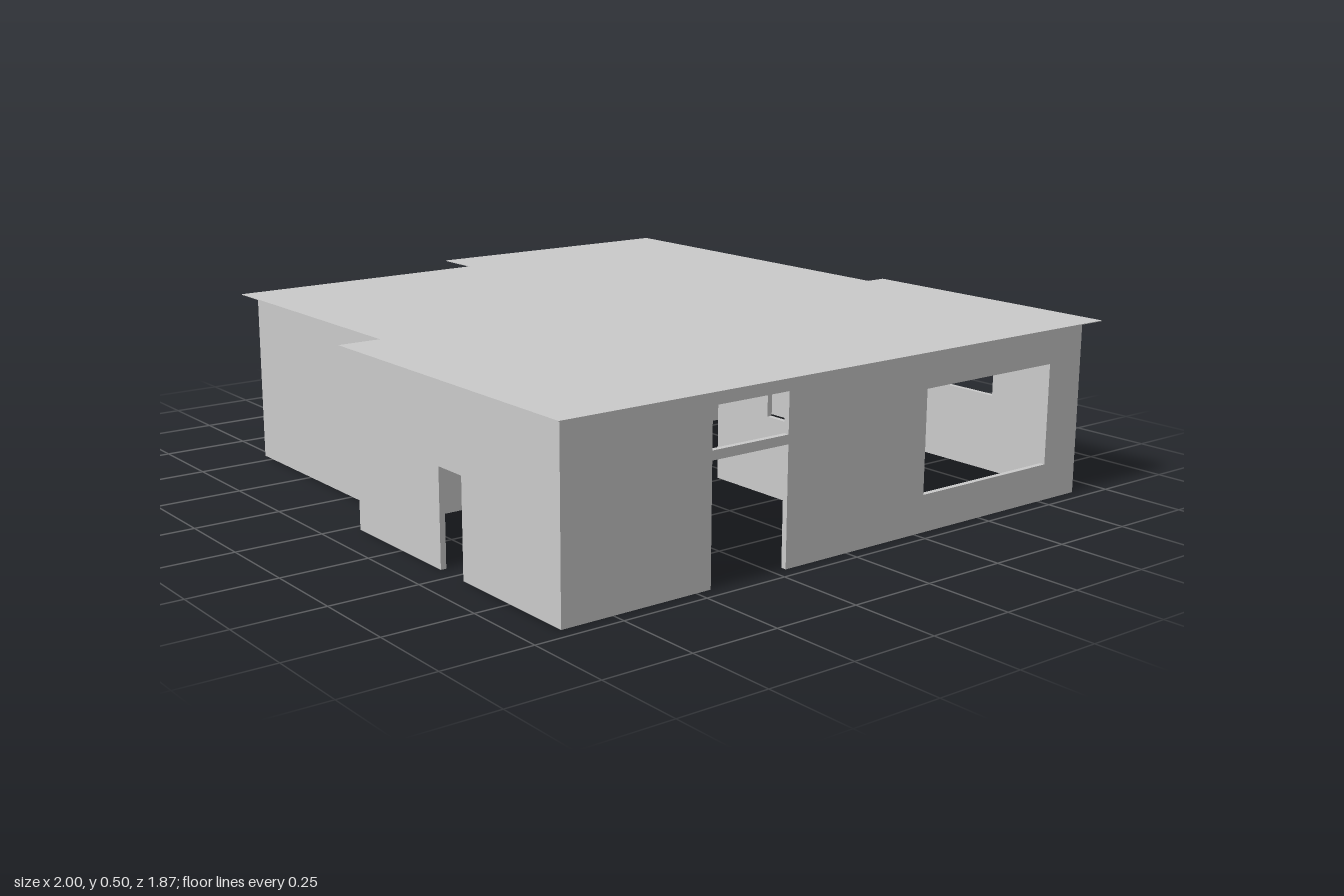
import * as THREE from 'three';

const material = new THREE.MeshStandardMaterial({ color: 0xcccccc, flatShading: true, side: THREE.DoubleSide });
const T = 0.016;   // wall thickness
const H = 0.503;   // wall height, just under the roof
const LOW = 0.48;  // lower wing walls

// Wall outline with door notches [from, to, height] and window holes [from, to, bottom, top]
function wallGeometry(from, to, height, doors, windows) {
  const s = new THREE.Shape();
  s.moveTo(from, 0);
  for (const [a, b, h] of doors) {
    s.lineTo(a, 0);
    s.lineTo(a, h);
    s.lineTo(b, h);
    s.lineTo(b, 0);
  }
  s.lineTo(to, 0);
  s.lineTo(to, height);
  s.lineTo(from, height);
  s.closePath();
  for (const [a, b, y0, y1] of windows) {
    const hole = new THREE.Path();
    hole.moveTo(a, y0);
    hole.lineTo(a, y1);
    hole.lineTo(b, y1);
    hole.lineTo(b, y0);
    hole.closePath();
    s.holes.push(hole);
  }
  return new THREE.ExtrudeGeometry(s, { depth: T, bevelEnabled: false });
}

// Wall running along x, its lower-z face at z
function wallX(name, z, from, to, { height = H, doors = [], windows = [] } = {}) {
  const mesh = new THREE.Mesh(wallGeometry(from, to, height, doors, windows), material);
  mesh.position.z = z;
  mesh.name = name;
  return mesh;
}

// Wall running along z, its lower-x face at x (shape coordinates are mirrored to -z)
function wallZ(name, x, from, to, { height = H, doors = [], windows = [] } = {}) {
  const flip = ([a, b, ...rest]) => [-b, -a, ...rest];
  const geometry = wallGeometry(-to, -from, height, doors.map(flip), windows.map(flip));
  const mesh = new THREE.Mesh(geometry, material);
  mesh.rotation.y = Math.PI / 2;
  mesh.position.x = x;
  mesh.name = name;
  return mesh;
}

function createRoof() {
  const outline = [
    [-0.99, -0.87], [0.145, -0.87], [0.145, -0.935], [1, -0.935], [1, 0.93],
    [0, 0.93], [0, 0.805], [-0.835, 0.805], [-0.85, -0.02], [-1, -0.02],
  ];
  const shape = new THREE.Shape(outline.map(([x, z]) => new THREE.Vector2(x, -z)));
  const geometry = new THREE.ExtrudeGeometry(shape, { depth: 0.002, bevelEnabled: false });
  geometry.rotateX(-Math.PI / 2);
  const roof = new THREE.Mesh(geometry, material);
  roof.position.y = H;
  roof.name = 'roof';
  return roof;
}

export function createModel() {
  const house = new THREE.Group();
  house.name = 'house';

  // Outer walls
  const outer = new THREE.Group();
  outer.name = 'outerWalls';
  outer.add(
    wallX('frontWallMain', 0.9 - T, 0.04, 0.96, { doors: [[0.44, 0.545, 0.27]] }),
    wallX('frontWallRecessed', 0.77 - T, -0.8, 0.04),
    wallZ('sideWallWithWindows', 0.96 - T, -0.9, 0.9, {
      doors: [[0.21, 0.455, 0.325]],
      windows: [[0.21, 0.455, 0.35, 0.46], [-0.77, -0.28, 0.105, 0.395]],
    }),
    wallX('backWallMain', -0.9, 0.18, 0.96, { windows: [[0.44, 0.66, 0.23, 0.4]] }),
    wallZ('backWallStep', 0.18, -0.9, -0.84 + T),
    wallX('backWallRecessed', -0.84, -0.95, 0.18, { windows: [[-0.25, -0.13, 0.23, 0.32]] }),
    wallZ('wingSideWall', -0.95, -0.84, -0.05, { height: LOW }),
    wallX('wingEndStub', -0.05 - T, -0.95, -0.905, { height: LOW }),
    wallZ('solidSideWall', -0.8, -0.05, 0.77),
  );

  // Room partitions
  const inner = new THREE.Group();
  inner.name = 'innerWalls';
  inner.add(
    wallX('bedroomWall', -0.2, 0.23, 0.96, {
      windows: [[0.445, 0.58, 0.23, 0.32], [0.71, 0.83, 0.24, 0.38]],
    }),
    wallZ('hallWall', 0.03, 0.12, 0.9, { doors: [[0.255, 0.355, 0.27]] }),
    wallX('hallReturnWall', 0.16, 0.04, 0.36),
    wallZ('closetSide', -0.15, 0.01, 0.15),
    wallX('closetBack', 0.005, -0.41, -0.14),
    wallZ('closetEnd', -0.418, -0.07, 0.01),
    wallX('corridorWall', 0.142, -0.8, -0.14),
    wallX('frontRoomWall', 0.425, -0.67, -0.14, { doors: [[-0.36, -0.25, 0.27]] }),
    wallZ('frontRoomEnd', -0.68, 0.15, 0.43, { doors: [[0.27, 0.37, 0.27]] }),
    wallZ('cupboardSide', -0.25, 0.56, 0.77 - T),
    wallX('cupboardBack', 0.552, -0.6, -0.24),
    wallZ('backRoomWall', -0.31, -0.84, -0.33, { windows: [[-0.77, -0.675, 0.15, 0.265]] }),
    wallX('backRoomReturn', -0.34, -0.42, -0.3),
  );

  house.add(outer, inner, createRoof());
  return house;
}
